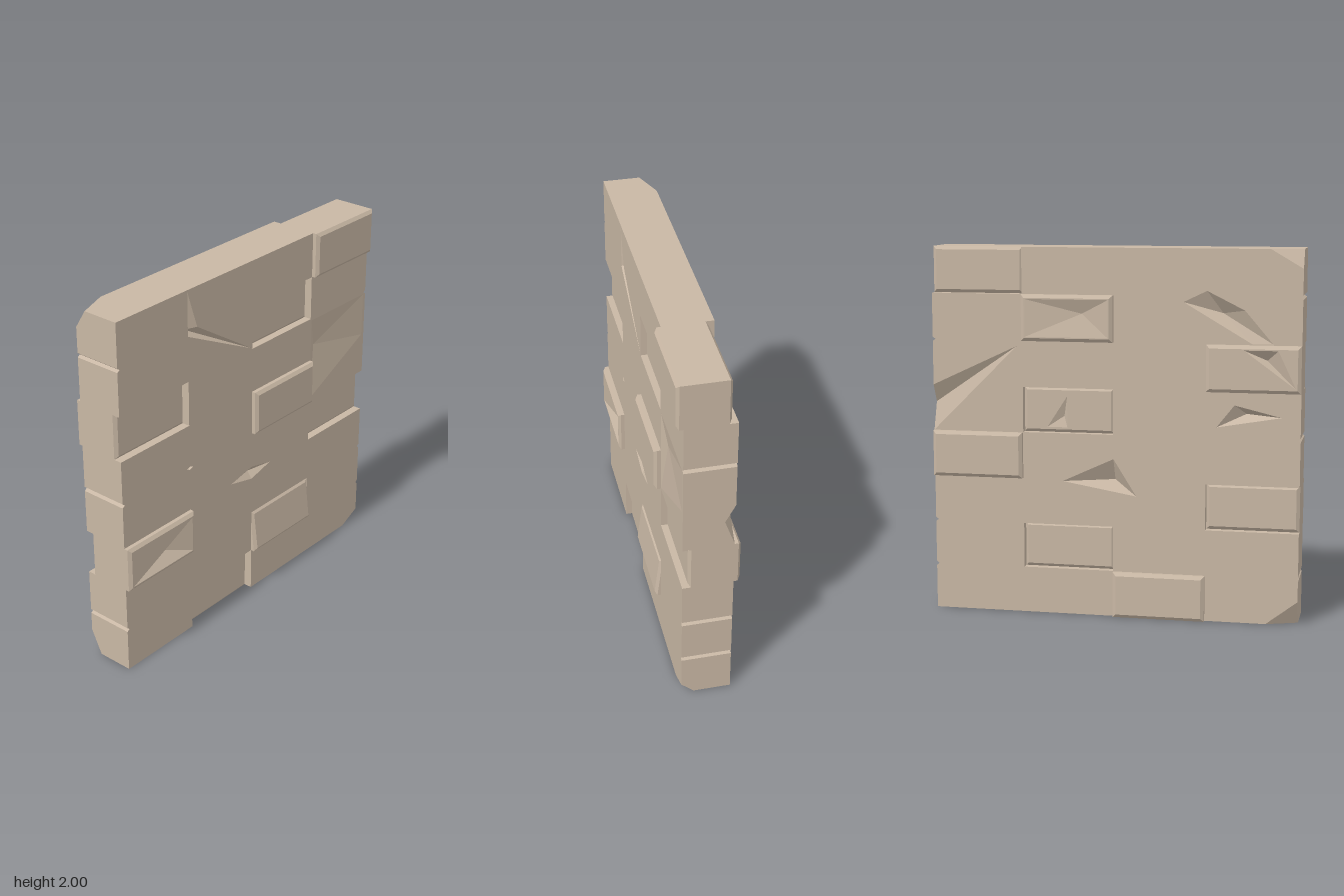
import * as THREE from 'three';

const material = new THREE.MeshStandardMaterial({ color: 0xc8b7a4, flatShading: true });
const HALF = 0.133, SHIFT = 0.033, W = 0.5, H = 0.25;

// Collects triangles for one flat-shaded part
class Builder {
  constructor() { this.pos = []; }
  tri(a, b, c) { this.pos.push(...a, ...b, ...c); }
  quad(a, b, c, d) { this.tri(a, b, c); this.tri(a, c, d); }
  // triangle turned so that it faces towards z * s
  facing(a, b, c, s) {
    const area = (b[0] - a[0]) * (c[1] - a[1]) - (b[1] - a[1]) * (c[0] - a[0]);
    if (area * s > 0) this.tri(a, b, c); else this.tri(a, c, b);
  }
  // flat outline with holes; height(x, y) gives z
  sheet(outline, holes, height, s) {
    const v = (ps) => ps.map((p) => new THREE.Vector2(p[0], p[1]));
    const all = [outline, ...holes].flat().map(([x, y]) => [x, y, height(x, y)]);
    for (const [a, b, c] of THREE.ShapeUtils.triangulateShape(v(outline), holes.map(v))) {
      this.facing(all[a], all[b], all[c], s);
    }
  }
  // chipped hollow: a fan from the rim down to one deep point
  dent({ rim, apex, depth }, height, s) {
    const deep = [...apex, height(...apex) - s * depth];
    rim.forEach(([x, y], i) => {
      const [u, w] = rim[(i + 1) % rim.length];
      this.facing([x, y, height(x, y)], [u, w, height(u, w)], deep, s);
    });
  }
  // walls along a counter-clockwise loop of [x, y, zBack, zFront]
  walls(loop) {
    loop.forEach((p, i) => {
      const q = loop[(i + 1) % loop.length];
      this.quad([p[0], p[1], p[2]], [q[0], q[1], q[2]], [q[0], q[1], q[3]], [p[0], p[1], p[3]]);
    });
  }
  mesh(name) {
    const g = new THREE.BufferGeometry();
    g.setAttribute('position', new THREE.Float32BufferAttribute(this.pos, 3));
    g.computeVertexNormals();
    const m = new THREE.Mesh(g, material);
    m.name = name;
    return m;
  }
}

const dent = (apex, depth, ...rim) => ({ apex, depth, rim });
const rect = (x, y, i = 0) => [[x + i, y + i], [x + W - i, y + i], [x + W - i, y + H - i], [x + i, y + H - i]];
// small groove where two courses meet on a side edge
const groove = (side, y) => [[side, y - side * 0.012], [side * 0.985, y], [side, y + side * 0.012]];

// Outline of the wall around the shifted edge bricks. A chipped corner has
// the side it is on, its remaining z, and sometimes an inner corner.
const outline = [
  [-0.83, 0], [-0.5, 0], [-0.5, 0.25], [0, 0.25], [0, 0],
  [0.87, 0], [1, 0, 1, 0.065], [1, 0.06], ...groove(1, 0.25), ...groove(1, 0.5),
  [1, 0.75], [0.5, 0.75], [0.5, 1],
  [1, 1], [1, 1.15, -1, -0.08, [0.53, 1.47]], [1, 1.25], ...groove(1, 1.5),
  [1, 1.75], [0.5, 1.75], [0.5, 2],
  [-0.83, 2], [-1, 2, -1, -0.07], [-1, 1.9], ...groove(-1, 1.75),
  [-1, 1.5], [-0.5, 1.5], [-0.5, 1.25], [-1, 1.25], ...groove(-1, 1),
  [-1, 0.75], [-0.5, 0.75], [-0.5, 0.5], [-1, 0.5], ...groove(-1, 0.25),
  [-1, 0.13], [-1, 0, -1, -0.07],
];

// Hollows in the wall faces
const wallDents = {
  front: [
    dent([-0.475, 1.765], 0.05, [-0.5, 1.99], [-0.5, 1.75], [0, 1.505], [-0.43, 1.78]),
    dent([0, 0.755], 0.03, [-0.17, 0.755], [0, 0.715], [0.16, 0.755], [0, 0.79]),
    dent([0.56, 1.32], 0.025, [0.505, 1.01], [0.98, 1.24], [0.98, 1.49], [0.505, 1.49]),
    dent([-0.5, 1], 0.02, [-0.525, 1], [-0.5, 0.99], [-0.475, 1], [-0.5, 1.01]),
  ],
  back: [
    dent([0, 0.75], 0.06, [0.28, 0.74], [0, 0.87], [-0.125, 0.67]),
    dent([-0.58, 1.66], 0.06, [-0.375, 1.72], [-0.5, 1.78], [-0.7, 1.68], [-0.85, 1.505], [-0.74, 1.505]),
    dent([-0.71, 1.13], 0.05, [-0.555, 1.06], [-0.65, 1.18], [-0.9, 1.12]),
  ],
};

// Bricks pushed forward (1) or back (-1)
const bricks = [
  { x: 0.5, y: 1.75, push: 1 },
  { x: 0, y: 1.5, push: -1, back: [dent([0.17, 1.65], 0.03, ...rect(0, 1.5, 0.024))] },
  { x: -1, y: 1.25, push: -1, back: [dent([-0.82, 1.42], 0.04, [-0.7, 1.475], [-0.88, 1.475], [-0.975, 1.275])] },
  { x: 0, y: 1, push: 1, back: [dent([0.28, 1.09], 0.02, [0.26, 1.2], [0.37, 1.03], [0.26, 1.03])] },
  { x: 0.5, y: 0.75, push: -1 },
  { x: -1, y: 0.5, push: 1, front: [dent([-0.7, 0.59], 0.05, [-0.975, 0.523], [-0.523, 0.523], [-0.523, 0.727])] },
  { x: 0, y: 0.25, push: 1, tilt: 0.03 },
  { x: -0.5, y: 0, push: -1 },
];

function makeWall() {
  const b = new Builder();
  const inner = bricks.filter((k) => k.x === 0).map((k) => rect(k.x, k.y, 0.002));
  for (const [s, dents] of [[1, wallDents.front], [-1, wallDents.back]]) {
    const height = () => s * HALF;
    const edge = outline.flatMap((p) => (p[2] !== s ? [p] : p[4] ? [p[4]] : []));
    b.sheet(edge, [...inner, ...dents.map((d) => d.rim)], height, s);
    dents.forEach((d) => b.dent(d, height, s));
    // broken corners
    outline.forEach((p, i) => {
      if (p[2] !== s) return;
      const at = ([x, y]) => [x, y, s * HALF];
      const a = at(outline[i - 1]), c = at(outline[(i + 1) % outline.length]);
      const deep = [p[0], p[1], p[3]];
      if (p[4]) {
        b.facing(a, deep, at(p[4]), s);
        b.facing(deep, c, at(p[4]), s);
      } else b.facing(a, deep, c, s);
    });
  }
  b.walls(outline.map(([x, y, s, z]) => [x, y, s === -1 ? z : -HALF, s === 1 ? z : HALF]));
  inner.forEach((r) => b.walls(r.map(([x, y]) => [x, y, -HALF, HALF]).reverse()));
  return b.mesh('wall');
}

// Bevelled brick filling one cell through the whole wall
function makeBrick({ x, y, push, front = [], back = [], tilt = 0 }) {
  const b = new Builder();
  const outer = rect(x, y), face = rect(x, y, 0.018);
  const bevel = 0.014;
  const zFront = (u, v) => push * SHIFT + HALF + 0.002 - tilt * (v - y) / H;
  const zBack = () => push * SHIFT - HALF - 0.002;
  for (const [s, height, dents] of [[1, zFront, front], [-1, zBack, back]]) {
    b.sheet(face, dents.map((d) => d.rim), height, s);
    dents.forEach((d) => b.dent(d, height, s));
    for (let i = 0; i < 4; i++) {
      const j = (i + 1) % 4;
      const low = (p) => [...p, height(...p) - s * bevel], top = (p) => [...p, height(...p)];
      b.facing(low(outer[i]), low(outer[j]), top(face[j]), s);
      b.facing(low(outer[i]), top(face[j]), top(face[i]), s);
    }
  }
  b.walls(outer.map((p) => [...p, zBack() + bevel, zFront(...p) - bevel]));
  return b.mesh('brick');
}

export function createModel() {
  const group = new THREE.Group();
  group.name = 'brickWall';
  group.add(makeWall());
  bricks.forEach((k) => group.add(makeBrick(k)));
  return group;
}
